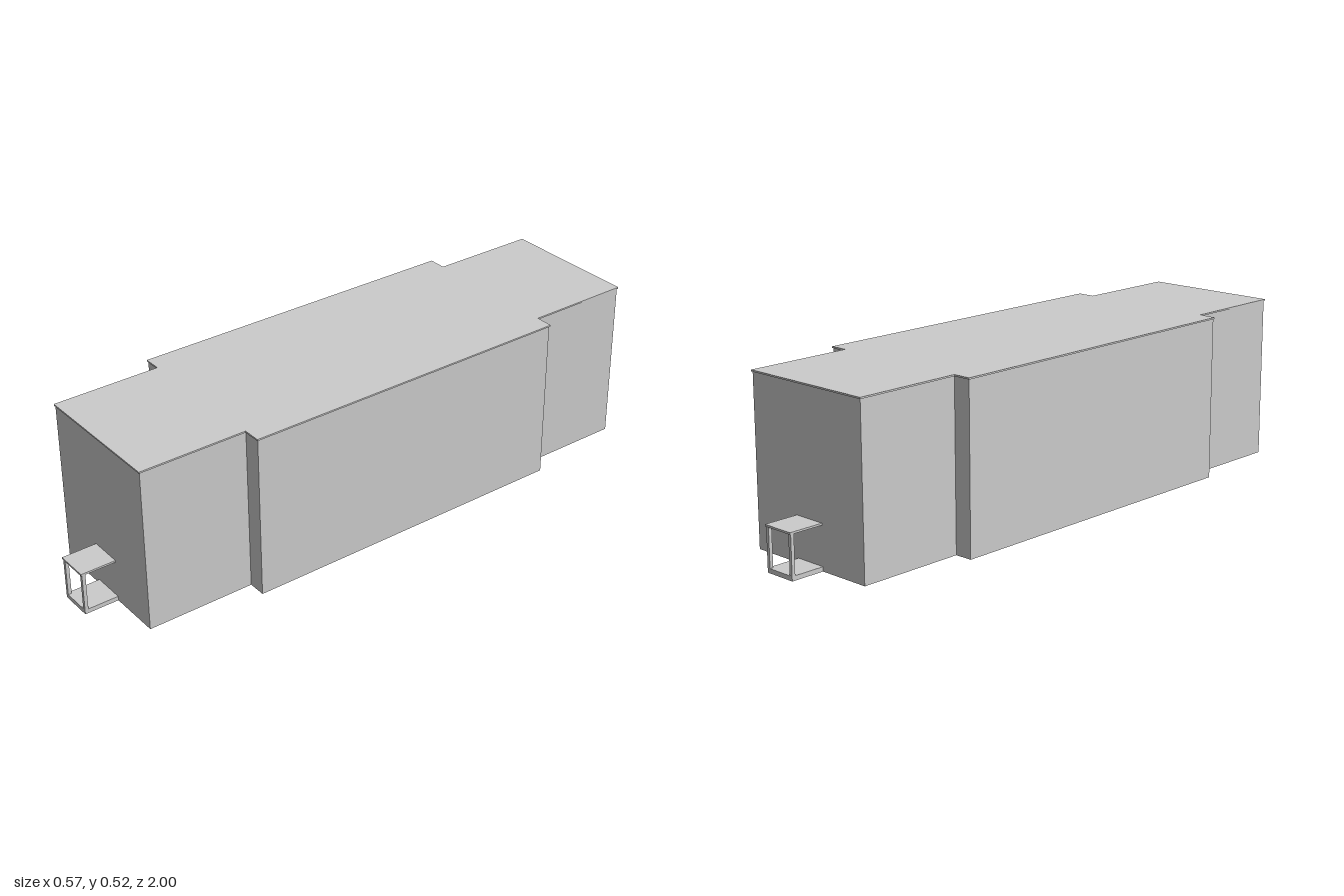
import * as THREE from 'three';

const material = new THREE.MeshStandardMaterial({ color: 0xcccccc, flatShading: true });

// Stepped plan: wide middle, narrower ends; grow adds an overhang
function planShape(grow) {
  const wide = 0.28 + grow, narrow = 0.223 + grow;
  const mid = 0.543 + grow, end = 0.888 + grow;
  const quarter = [[narrow, end], [narrow, mid], [wide, mid]];
  const mirrored = quarter.map(([x, z]) => [x, -z]).reverse();
  const rightSide = [...quarter, ...mirrored];
  const leftSide = rightSide.map(([x, z]) => [-x, -z]);
  return new THREE.Shape([...rightSide, ...leftSide].map(([x, z]) => new THREE.Vector2(x, z)));
}

function slab(name, grow, y0, y1) {
  const geometry = new THREE.ExtrudeGeometry(planShape(grow), { depth: y1 - y0, bevelEnabled: false });
  geometry.rotateX(-Math.PI / 2).translate(0, y0, 0);
  const mesh = new THREE.Mesh(geometry, material);
  mesh.name = name;
  return mesh;
}

// Box given by its minimum and maximum corners
function box(name, [x0, y0, z0], [x1, y1, z1]) {
  const mesh = new THREE.Mesh(new THREE.BoxGeometry(x1 - x0, y1 - y0, z1 - z0), material);
  mesh.position.set((x0 + x1) / 2, (y0 + y1) / 2, (z0 + z1) / 2);
  mesh.name = name;
  return mesh;
}

// Small porch: floor, two front posts and a flat canopy
function porch(name) {
  const group = new THREE.Group();
  group.name = name;
  group.add(
    box('porchFloor', [-0.052, 0, 0.886], [0.052, 0.014, 0.997]),
    box('porchCanopy', [-0.053, 0.134, 0.886], [0.053, 0.14, 1]),
    box('leftPost', [0.042, 0.014, 0.986], [0.052, 0.134, 0.997]),
    box('rightPost', [-0.052, 0.014, 0.986], [-0.042, 0.134, 0.997])
  );
  return group;
}

export function createModel() {
  const model = new THREE.Group();
  model.name = 'building';
  model.add(slab('walls', 0, 0, 0.52), slab('roof', 0.003, 0.52, 0.525));

  // One porch at each end
  const backPorch = porch('backPorch');
  backPorch.rotation.y = Math.PI;
  model.add(porch('frontPorch'), backPorch);
  return model;
}
